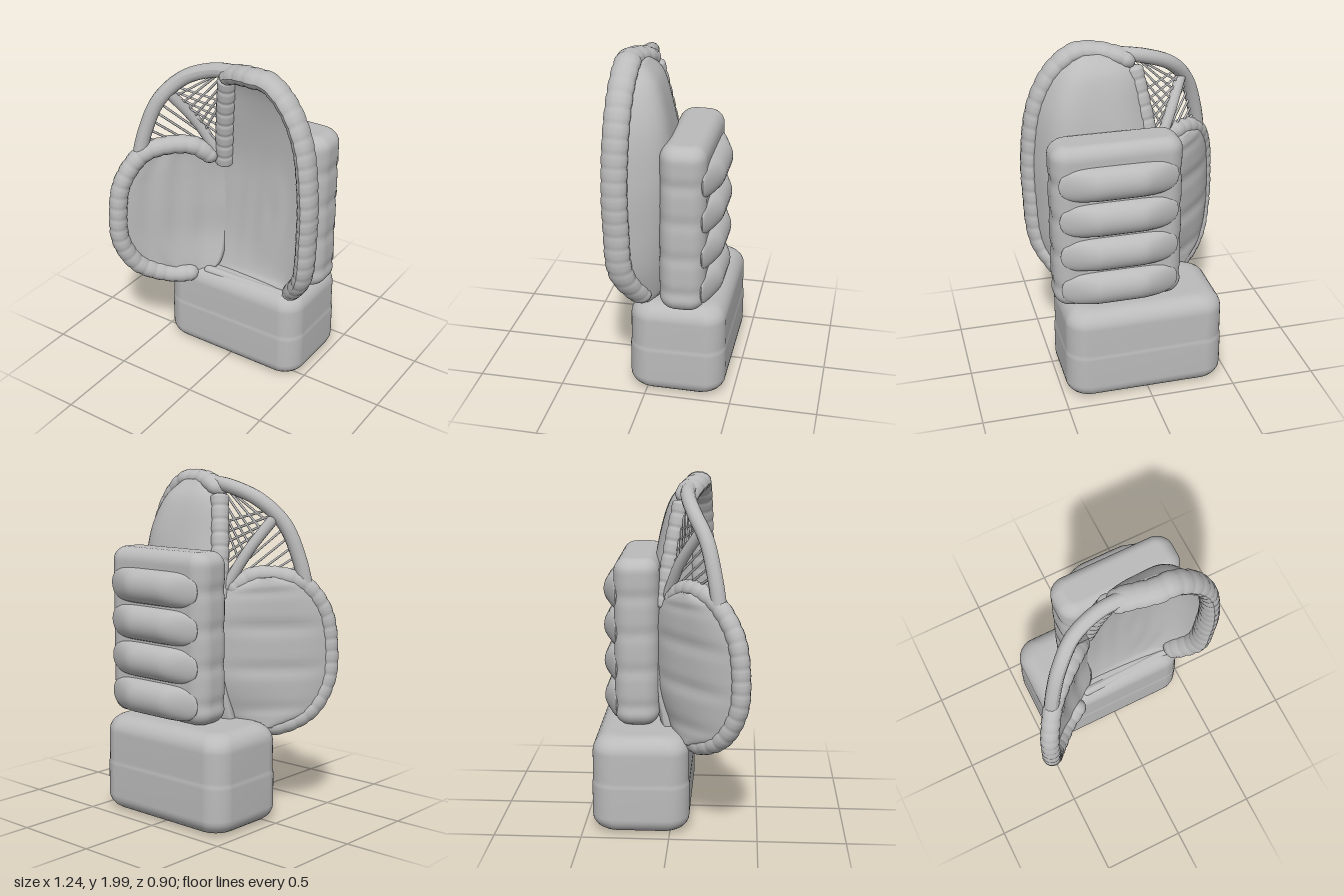
import * as THREE from 'three';

const V = (x, y, z) => new THREE.Vector3(x, y, z);
const curve = (pts) => new THREE.CatmullRomCurve3(pts.map((p) => V(...p)));

// Skin over stacked closed rings (counter-clockwise from above), capped at both ends
function loft(rings) {
  const n = rings[0].length, pos = [], idx = [];
  rings.forEach((ring) => ring.forEach((p) => pos.push(p.x, p.y, p.z)));
  for (let i = 0; i < rings.length - 1; i++) {
    for (let j = 0; j < n; j++) {
      const k = (j + 1) % n, a = i * n + j, b = i * n + k;
      idx.push(a, b, b + n, a, b + n, a + n);
    }
  }
  [0, rings.length - 1].forEach((r, end) => {
    const c = rings[r].reduce((s, p) => s.add(p), V(0, 0, 0)).divideScalar(n);
    const m = pos.length / 3;
    pos.push(c.x, c.y, c.z);
    for (let j = 0; j < n; j++) {
      const a = r * n + j, b = r * n + (j + 1) % n;
      if (end) idx.push(m, a, b); else idx.push(m, b, a);
    }
  });
  const g = new THREE.BufferGeometry();
  g.setAttribute('position', new THREE.Float32BufferAttribute(pos, 3));
  g.setIndex(idx);
  g.computeVertexNormals();
  return g;
}

// Horizontal rounded rectangle
function rectRing(cx, y, cz, w, d, r) {
  return Array.from({ length: 40 }, (_, k) => {
    const a = (k + 0.5) / 40 * Math.PI * 2, c = Math.cos(a), s = -Math.sin(a);
    return V(cx + Math.sign(c) * (w - r) + c * r, y, cz + Math.sign(s) * (d - r) + s * r);
  });
}

// Curved padded panel between two edge curves, sagging along the direction back
function panel(left, right, back, { power, sag, frontRipple, backRipple }) {
  const rings = [], rows = 48, cols = 28;
  for (let i = 0; i <= rows; i++) {
    const t = i / rows, L = left.getPoint(t), R = right.getPoint(t), front = [], rear = [];
    for (let j = 0; j <= cols; j++) {
      const s = j / cols, bowl = 1 - Math.pow(Math.abs(2 * s - 1), power);
      const p = L.clone().lerp(R, s).addScaledVector(back, sag(s, t) * bowl);
      const edge = Math.sin(Math.PI * t);
      front.push(p.clone().addScaledVector(back, bowl * edge * frontRipple(s, t)));
      rear.unshift(p.clone().addScaledVector(back, 0.035 + 0.035 * bowl + bowl * edge * backRipple(s, t)));
    }
    rings.push([...front, ...rear]);
  }
  return loft(rings);
}

// Round roll along a path, with stitched lumps, rounded ends and optional extra depth in z
function roll(path, radius, lumps = 0, depth = 0, zScale = 1) {
  const seg = 160, sides = 14;
  const g = new THREE.TubeGeometry(path, seg, radius, sides, false);
  const p = g.attributes.position, v = V(0, 0, 0);
  for (let i = 0; i <= seg; i++) {
    const t = i / seg, c = path.getPointAt(t);
    const e = Math.min(1, Math.min(t, 1 - t) / 0.04);
    const k = Math.sqrt(1 - (1 - e) ** 2) * (1 - depth * Math.pow(Math.cos(t * lumps * Math.PI), 8));
    for (let j = 0; j <= sides; j++) {
      const q = i * (sides + 1) + j;
      v.fromBufferAttribute(p, q).sub(c).multiplyScalar(k);
      p.setXYZ(q, c.x + v.x, c.y + v.y, c.z + v.z * zScale);
    }
  }
  g.computeVertexNormals();
  return g;
}

export function createModel() {
  const group = new THREE.Group();
  const grey = new THREE.MeshStandardMaterial({ color: 0xbbbbbb });
  grey.name = 'leather grey';
  const add = (name, geometry, parent = group) => {
    const m = new THREE.Mesh(geometry, grey);
    m.name = name;
    parent.add(m);
    return m;
  };

  // Wrist cuff: rounded block with a domed hand opening underneath and a soft step round the middle
  const cuff = [];
  const cuffRing = (y, inset) => cuff.push(
    rectRing(0.01, y, -0.17, 0.47 - inset, 0.28 - inset, Math.max(0.05, 0.13 - inset * 0.5)));
  [[0.4, 0.06, 0.03], [0.38, 0.12, 0.06], [0.3, 0.17, 0.085], [0.18, 0.195, 0.1], [0.06, 0.2, 0.105],
    [0.025, 0.21, 0.11], [0.01, 0.235, 0.13], [0.01, 0.27, 0.16]]
    .forEach(([y, w, d]) => cuff.push(rectRing(0.01, y, -0.17, w, d, d * 0.8)));
  for (let k = 0; k <= 6; k++) {
    const a = k / 6 * Math.PI / 2;
    cuffRing(0.1 - 0.09 * Math.cos(a), 0.09 * (1 - Math.sin(a)));
  }
  [[0.28, 0], [0.295, 0.001], [0.305, 0.004], [0.32, 0.004]].forEach((q) => cuffRing(...q));
  for (let k = 0; k <= 6; k++) {
    const a = k / 6 * Math.PI / 2;
    cuffRing(0.48 + 0.1 * Math.sin(a), 0.004 + 0.1 * (1 - Math.cos(a)));
  }
  cuffRing(0.58, 0.14);
  add('cuff', loft(cuff));

  // Hand-back pad with gently banded sides
  const pad = [];
  for (let i = 0; i <= 60; i++) {
    const y = 0.58 + 0.98 * (1 - Math.cos(i / 60 * Math.PI)) / 2;
    const e = Math.min(1, Math.min(y - 0.58, 1.56 - y) / 0.08);
    const inset = 0.07 * (1 - Math.sqrt(1 - (1 - e) ** 2));
    const band = 0.008 * Math.pow(Math.cos((y - 0.7) / 0.215 * Math.PI), 8);
    pad.push(rectRing(0.145, y, -0.205, 0.375 - inset - band, 0.13 - inset, 0.1 - inset));
  }
  pad.push(rectRing(0.145, 1.56, -0.205, 0.28, 0.035, 0.02));
  add('backPad', loft(pad));

  // Four blunt finger rolls across the back pad, flattening towards their ends
  const profile = Array.from({ length: 31 }, (_, k) => {
    const s = -Math.cos(k / 30 * Math.PI);
    return new THREE.Vector2(0.09 * Math.sqrt(Math.max(0, 1 - Math.abs(s) ** 6)), s * 0.34);
  });
  const rollShape = new THREE.LatheGeometry(profile, 28);
  const rp = rollShape.attributes.position;
  for (let i = 0; i < rp.count; i++) {
    rp.setZ(i, rp.getZ(i) * Math.min(1, 0.2 + (0.34 - Math.abs(rp.getY(i))) / 0.26));
  }
  rollShape.computeVertexNormals();
  for (let i = 0; i < 4; i++) {
    const r = add('backRoll', rollShape);
    r.rotation.z = Math.PI / 2;
    r.scale.x = 1.14;
    r.position.set(0.148, 0.7 + i * 0.216, -0.323);
  }

  // Finger and palm shell
  const palmLeft = [[-0.2, 0.55, 0], [-0.17, 0.8, -0.045], [-0.15, 1.1, -0.05], [-0.13, 1.33, -0.04],
    [-0.09, 1.6, 0.01], [-0.04, 1.84, 0.06], [0.1, 1.95, 0.11]];
  const palmRight = [[0.41, 0.57, 0.03], [0.53, 0.8, 0.12], [0.56, 1.1, 0.14], [0.56, 1.35, 0.145],
    [0.515, 1.65, 0.14], [0.42, 1.84, 0.135], [0.3, 1.94, 0.13]];
  add('palm', panel(curve(palmLeft), curve(palmRight), V(0, 0, -1), {
    power: 4,
    sag: (s, t) => (0.035 + 0.17 * s) * Math.pow(Math.max(0, Math.sin(Math.PI * t)), t < 0.5 ? 0.5 : 0.95),
    frontRipple: (s, t) => 0.005 * Math.cos(Math.hypot((s - 0.5) * 2, (t - 0.3) * 1.2) * 20)
      * Math.max(0, 1 - t * 1.6),
    backRipple: () => 0,
  }));
  add('fingerRim', roll(curve([[0.39, 0.58, 0.02], ...palmRight.slice(1), [0.2, 1.947, 0.13],
    [0.06, 1.92, 0.09], [-0.04, 1.87, 0.06]]), 0.055, 24, 0.06, 1.35));
  add('fingerEdge', roll(curve([[-0.12, 1.26, -0.06], [-0.08, 1.56, -0.01], [-0.025, 1.87, 0.05]]),
    0.055, 8, 0.08));

  // Thumb shell, swung forward
  const thumbOuter = [[-0.36, 0.53, 0.16], [-0.5, 0.62, 0.3], [-0.56, 0.8, 0.385], [-0.565, 1, 0.395],
    [-0.545, 1.2, 0.365], [-0.47, 1.36, 0.27], [-0.36, 1.41, 0.17]];
  const thumbInner = [[-0.2, 0.53, 0.06], [-0.12, 0.6, 0], [-0.1, 0.8, -0.06], [-0.08, 1, -0.075],
    [-0.09, 1.2, -0.07], [-0.14, 1.33, -0.02], [-0.25, 1.4, 0.08]];
  add('thumb', panel(curve(thumbOuter), curve(thumbInner), V(-0.7, 0, -0.7), {
    power: 2.6,
    sag: (s, t) => 0.03 * Math.sin(Math.PI * t),
    frontRipple: (s) => 0.006 * Math.cos(s * 24),
    backRipple: (s, t) => -0.012 * Math.pow(Math.cos(t * 5 * Math.PI), 8),
  }));
  add('thumbRim', roll(curve([[-0.22, 0.55, 0.08], ...thumbOuter, [-0.24, 1.4, 0.07],
    [-0.15, 1.3, -0.02]]), 0.055, 24, 0.07));

  // Small wrist fold between palm and cuff
  add('wristFold', roll(curve([[-0.2, 0.555, 0.04], [0.1, 0.55, 0.03], [0.41, 0.555, 0.02]]), 0.03));

  // Pocket frame: hoop and centre strap
  const pocket = new THREE.Group();
  pocket.name = 'pocket';
  group.add(pocket);
  add('hoop', roll(curve([[-0.49, 1.31, 0.28], [-0.455, 1.5, 0.25], [-0.385, 1.7, 0.2],
    [-0.265, 1.835, 0.125], [-0.1, 1.905, 0.085], [0.05, 1.93, 0.09], [0.18, 1.945, 0.13]]), 0.042), pocket);
  add('strap', roll(curve([[-0.345, 1.75, 0.17], [-0.24, 1.55, 0.05], [-0.12, 1.3, -0.04]]), 0.032), pocket);

  // Lacing: crossed net beside the fingers, fanned laces beside the thumb
  const lace = (a, b) => {
    const m = add('lace', new THREE.CylinderGeometry(0.007, 0.007, a.distanceTo(b), 6), pocket);
    m.position.copy(a).lerp(b, 0.5);
    m.quaternion.setFromUnitVectors(V(0, 1, 0), b.clone().sub(a).normalize());
  };
  const A = V(-0.33, 1.79, 0.16), B = V(-0.05, 1.9, 0.08), C = V(-0.14, 1.36, -0.03);
  const strapSide = (v) => C.clone().lerp(A, v), fingerSide = (v) => C.clone().lerp(B, v);
  for (let i = 0; i < 6; i++) {
    const v = 0.45 + i * 0.11;
    lace(strapSide(v), fingerSide(v - 0.35));
    lace(strapSide(v - 0.15), fingerSide(Math.min(1, v + 0.15)));
  }
  for (let i = 0; i < 5; i++) {
    const t = i / 4;
    lace(V(-0.38, 1.68, 0.2).lerp(V(-0.46, 1.47, 0.26), t), V(-0.17, 1.43, 0).lerp(V(-0.38, 1.42, 0.17), t));
  }
  return group;
}
